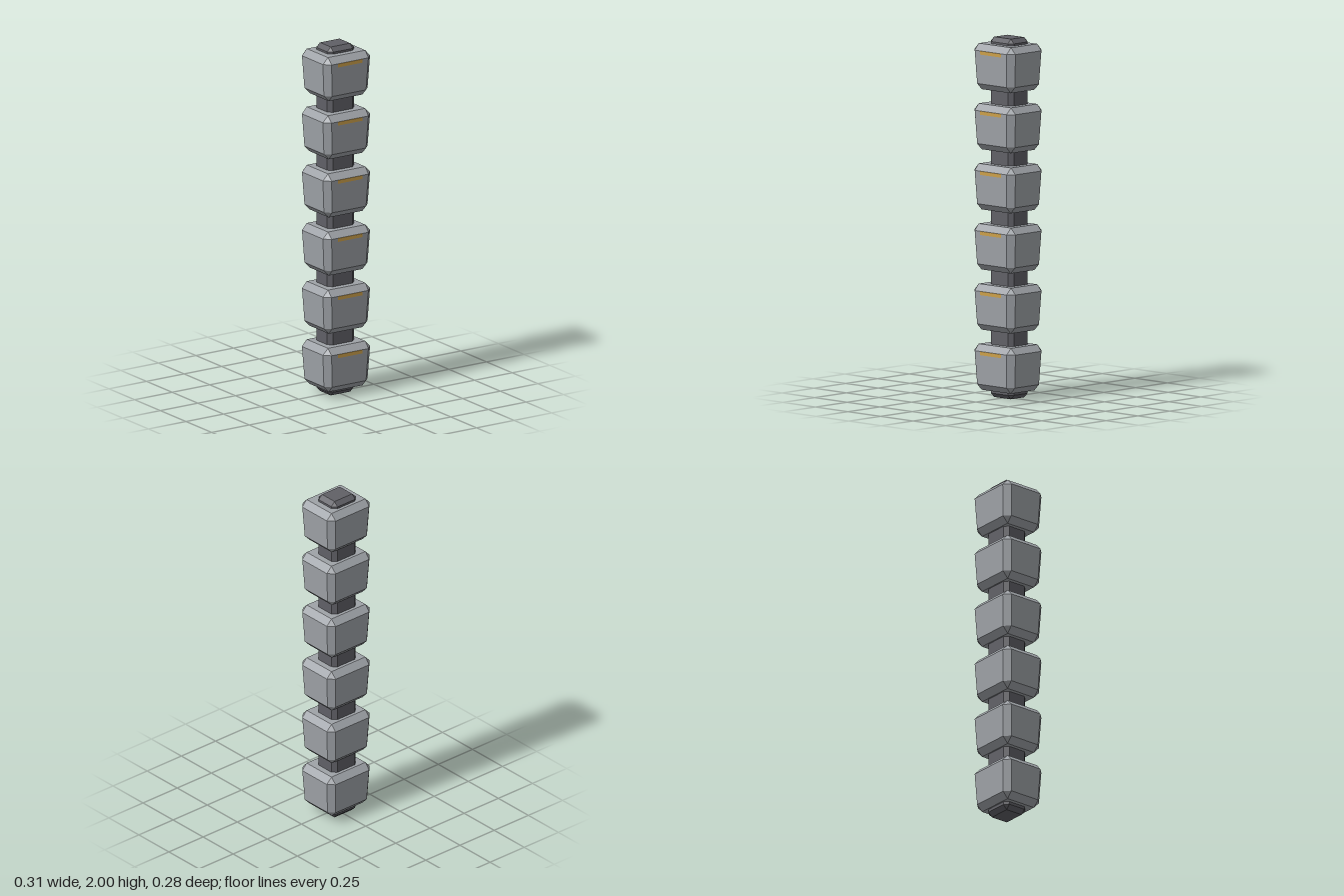
import * as THREE from 'three';
import { ConvexGeometry } from 'three/addons/geometries/ConvexGeometry.js';

// Box with chamfered edges and corners; taper narrows the lower end.
function chamferedBox(width, height, depth, bevel, taper = 1) {
  const hx = width / 2, hy = height / 2, hz = depth / 2;
  const points = [];
  for (const sx of [-1, 1]) for (const sy of [-1, 1]) for (const sz of [-1, 1]) {
    const corners = [
      [hx, hy - bevel, hz - bevel],
      [hx - bevel, hy, hz - bevel],
      [hx - bevel, hy - bevel, hz],
    ];
    for (const [x, y, z] of corners) {
      const s = THREE.MathUtils.lerp(taper, 1, (sy * y + hy) / height);
      points.push(new THREE.Vector3(sx * x * s, sy * y, sz * z * s));
    }
  }
  return new ConvexGeometry(points);
}

function material(name, color) {
  const m = new THREE.MeshStandardMaterial({ color });
  m.name = name;
  return m;
}

export function createModel() {
  const model = new THREE.Group();
  model.name = 'segmentedColumn';
  const lightGrey = material('lightGrey', 0x9fa3a8);
  const darkGrey = material('darkGrey', 0x606066);
  const gold = material('gold', 0xcb9f4a);

  // Core running the full height, set slightly back
  const core = new THREE.Mesh(chamferedBox(0.177, 2, 0.153, 0.024), darkGrey);
  core.name = 'core';
  core.position.set(0, 1, -0.0115);
  model.add(core);

  // Six tapered blocks, each with a thin stripe on the front
  const blockGeometry = chamferedBox(0.318, 0.255, 0.277, 0.035, 0.9);
  const stripeGeometry = new THREE.BoxGeometry(0.16, 0.02, 0.006);
  for (let i = 0; i < 6; i++) {
    const segment = new THREE.Group();
    segment.name = `segment${i + 1}`;
    segment.position.set(0, 0.168 + i * 0.3338, -0.0025);

    const block = new THREE.Mesh(blockGeometry, lightGrey);
    block.name = 'block';
    const stripe = new THREE.Mesh(stripeGeometry, gold);
    stripe.name = 'stripe';
    stripe.position.set(0, 0.082, 0.1355);

    segment.add(block, stripe);
    model.add(segment);
  }
  return model;
}
